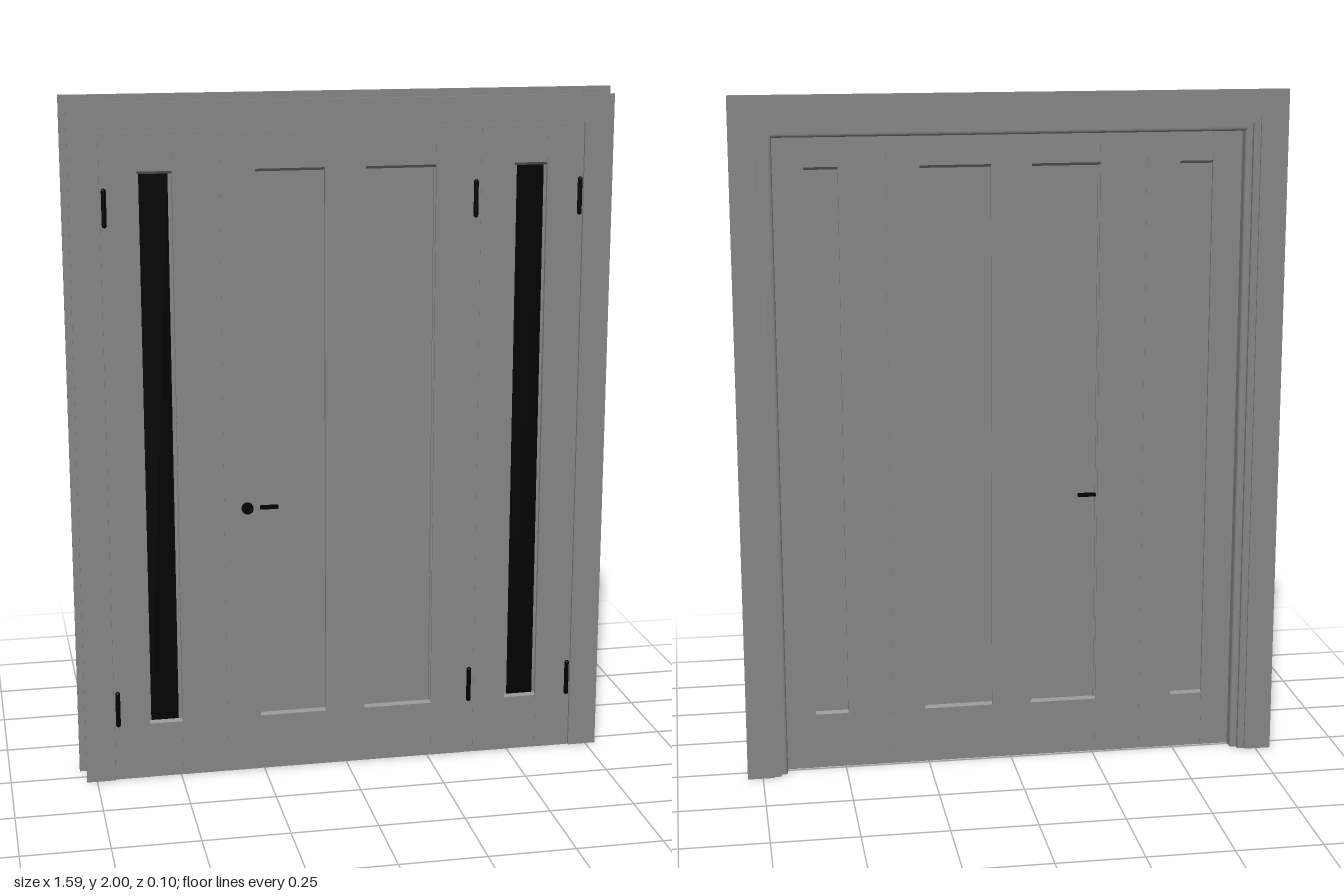
import * as THREE from 'three';

const grey = new THREE.MeshStandardMaterial({ color: 0x868686 });
const black = new THREE.MeshStandardMaterial({ color: 0x000000 });

export function createModel() {
  const model = new THREE.Group();

  const add = (name, geometry, material = grey, parent = model) => {
    const mesh = new THREE.Mesh(geometry, material);
    mesh.name = name;
    parent.add(mesh);
    return mesh;
  };

  // Box given by its limits on each axis
  const block = (name, [x0, x1], [y0, y1], [z0, z1], material, parent) => {
    const mesh = add(name, new THREE.BoxGeometry(x1 - x0, y1 - y0, z1 - z0), material, parent);
    mesh.position.set((x0 + x1) / 2, (y0 + y1) / 2, (z0 + z1) / 2);
    return mesh;
  };

  // Profile drawn in (-z, y) and drawn out along x
  const extrudeX = (name, points, x0, x1, parent) => {
    const shape = new THREE.Shape(points.map(([z, y]) => new THREE.Vector2(-z, y)));
    const geometry = new THREE.ExtrudeGeometry(shape, { depth: x1 - x0, bevelEnabled: false });
    geometry.rotateY(Math.PI / 2).translate(x0, 0, 0);
    return add(name, geometry, grey, parent);
  };

  const doorBack = 0.008, doorFront = 0.037, doorTop = 1.904;
  const railLow = 0.176, railHigh = 1.786, chamfer = 0.008;

  // Rail with its panel-side edge sloped on both faces
  const rail = (name, x0, x1, outerY, innerY, parent) => {
    const back = doorBack + 0.001, front = doorFront - 0.001;
    const faceY = innerY + Math.sign(outerY - innerY) * chamfer;
    extrudeX(name, [
      [back, outerY], [front, outerY], [front, faceY], [front - chamfer, innerY],
      [back + chamfer, innerY], [back, faceY],
    ], x0, x1, parent);
  };

  // Door leaf: full-height stiles, rails between them and a recessed panel
  const leaf = (name, x0, x1, openLeft, openRight) => {
    const group = new THREE.Group();
    group.name = name;
    model.add(group);
    const depth = [doorBack, doorFront];
    block('stile', [x0, openLeft], [0, doorTop], depth, grey, group);
    block('stile', [openRight, x1], [0, doorTop], depth, grey, group);
    rail('bottomRail', openLeft, openRight, 0, railLow, group);
    rail('topRail', openLeft, openRight, doorTop, railHigh, group);
    block('panel', [openLeft, openRight], [railLow, railHigh], [0.017, 0.026], grey, group);
    return group;
  };

  // Main door with a centre stile lapping the sloped rail edges
  const mainDoor = leaf('mainDoor', -0.36, 0.356, -0.26, 0.26);
  block('centreStile', [-0.062, 0.056], [railLow - chamfer, railHigh + chamfer],
    [doorBack + 0.001, doorFront - 0.001], grey, mainDoor);
  for (const x of [-0.257, 0.257]) {
    block('panelBead', [x - 0.003, x + 0.003], [railLow, railHigh], [0.012, 0.032], grey, mainDoor);
  }

  // Sidelights with narrow dark panes
  const rightSidelight = leaf('rightSidelight', -0.694, -0.396, -0.59, -0.493);
  block('darkGlass', [-0.585, -0.504], [railLow, railHigh], [0.025, 0.028], black, rightSidelight);
  const leftSidelight = leaf('leftSidelight', 0.392, 0.694, 0.49, 0.587);
  block('darkGlass', [0.499, 0.578], [railLow, railHigh], [0.025, 0.028], black, leftSidelight);

  // Posts between the main door and the sidelights
  block('rightMullion', [-0.396, -0.36], [0, doorTop], [doorBack + 0.001, 0.036]);
  block('leftMullion', [0.356, 0.392], [0, doorTop], [doorBack + 0.001, 0.036]);

  // Casings on both faces: two full-height legs with a head between
  const casing = (name, outer, inner, top, headBottom, legZ, headZ) => {
    for (const s of [-1, 1]) {
      block(name + 'Leg', s < 0 ? [-outer, -inner] : [inner, outer], [0, top], legZ);
    }
    block(name + 'Head', [-inner, inner], [headBottom, top], headZ);
  };
  casing('frontCasing', 0.78, 0.695, 1.985, 1.905, [0.036, 0.043], [0.036, 0.043]);
  casing('backCasing', 0.795, 0.715, 2, 1.925, [-0.051, -0.044], [-0.051, -0.045]);

  // Jamb lining
  for (const s of [-1, 1]) {
    block('jamb', s < 0 ? [-0.72, -0.695] : [0.695, 0.72], [0, 1.93], [-0.044, 0.037]);
  }
  block('headJamb', [-0.72, 0.72], [1.905, 1.93], [-0.044, 0.037]);

  // Round-nosed stops behind the doors
  const nose = new THREE.QuadraticBezierCurve(
    new THREE.Vector2(0.025, 0.026), new THREE.Vector2(0.025, 0.038), new THREE.Vector2(0.013, 0.038),
  ).getPoints(6).map((p) => [p.x, p.y]);
  const profile = [[0, 0], [0.025, 0], ...nose, [0, 0.038]];
  const stopPoints = profile.map(([inward, back]) => [0.008 - back, -inward]);
  extrudeX('headStop', stopPoints, -0.7, 0.7).position.y = 1.905;
  for (const s of [-1, 1]) {
    const sideStop = extrudeX('sideStop', stopPoints, s > 0 ? -1.905 : 0, s > 0 ? 0 : 1.905);
    sideStop.rotation.z = s * Math.PI / 2;
    sideStop.position.set(s * 0.7, s > 0 ? 1.905 : 0, 0);
    // The right stop turns the other way so its nose also faces the middle
    sideStop.rotation.z = s > 0 ? -Math.PI / 2 : Math.PI / 2;
    sideStop.position.y = 0;
    sideStop.scale.set(1, 1, 1);
  }

  // Hinge barrels with rounded tips
  for (const x of [-0.683, 0.377, 0.685]) {
    for (const y of [0.22, 1.695]) {
      add('hinge', new THREE.CapsuleGeometry(0.007, 0.096, 4, 10), black).position.set(x, y, 0.038);
    }
  }

  // Lock rosette and lever
  const rosette = add('lockRosette', new THREE.CylinderGeometry(0.017, 0.017, 0.012, 24), black);
  rosette.rotation.x = Math.PI / 2;
  rosette.position.set(-0.293, 0.813, 0.041);
  block('leverHandle', [-0.255, -0.202], [0.807, 0.816], [0.003, 0.042], black);

  return model;
}
